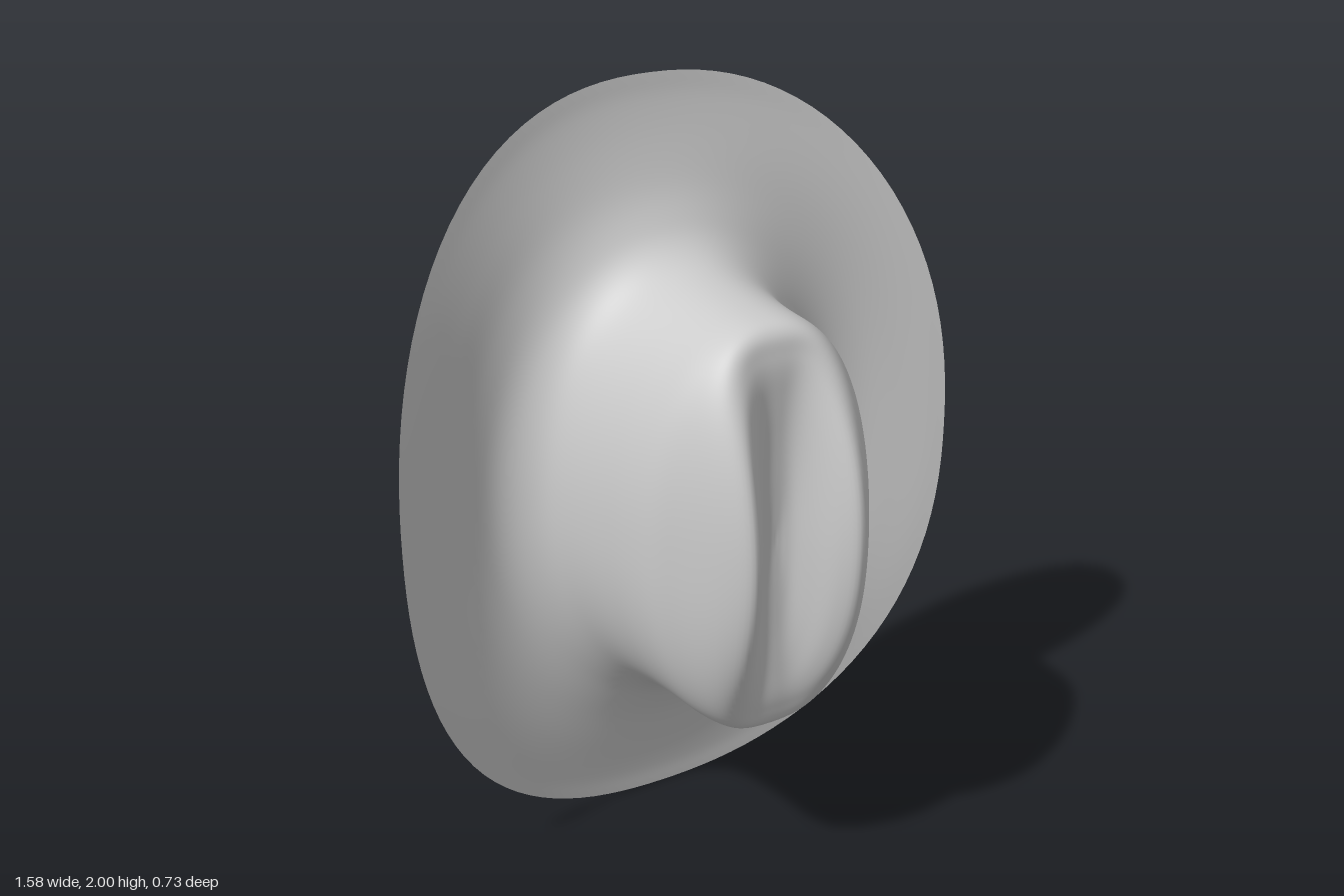
import * as THREE from 'three';
import { mergeVertices } from 'three/addons/utils/BufferGeometryUtils.js';

// Rings from rim to crown centre:
// [half width, half length, roundness exponent, z at sides, z at ends, z blend exponent]
const RINGS = [
  [0.79, 1.0, 2.25, -0.17, -0.365, 2.3],
  [0.74, 0.935, 2.25, -0.19, -0.357, 2.3],
  [0.66, 0.84, 2.2, -0.225, -0.335, 2.2],
  [0.57, 0.74, 2.15, -0.262, -0.303, 2],
  [0.5, 0.67, 2.1, -0.277, -0.268, 2],
  [0.44, 0.62, 2.1, -0.262, -0.232, 2],
  [0.39, 0.585, 2.1, -0.22, -0.185, 2],
  [0.36, 0.563, 2.1, -0.15, -0.125, 2],
  [0.335, 0.548, 2.15, -0.05, -0.04, 2],
  [0.32, 0.54, 2.2, 0.05, 0.05, 2],
  [0.3, 0.536, 2.3, 0.14, 0.13, 2],
  [0.26, 0.528, 2.5, 0.215, 0.18, 2],
  [0.2, 0.505, 3, 0.315, 0.207, 2],
  [0.15, 0.465, 3.4, 0.365, 0.218, 2],
  [0.11, 0.42, 3.4, 0.335, 0.224, 2],
  [0.075, 0.35, 3, 0.275, 0.224, 2],
  [0.045, 0.25, 2.6, 0.235, 0.222, 2],
  [0.02, 0.12, 2.2, 0.22, 0.22, 2],
  [0, 0, 2, 0.216, 0.216, 2],
];

// Smooth curve through three columns of the ring list
function column(start) {
  const points = RINGS.map((r) => new THREE.Vector3(...r.slice(start, start + 3)));
  return new THREE.CatmullRomCurve3(points, false, 'catmullrom', 0.5);
}

// One thin sheet: a grid wrapped around the crown axis and shaped ring by ring
function hatGeometry(segments, rings) {
  const plane = new THREE.PlaneGeometry(1, 1, segments, rings);
  const pos = plane.attributes.position;
  const outline = column(0);
  const height = column(3);
  for (let j = 0; j <= rings; j++) {
    const o = outline.getPoint(j / rings);
    const h = height.getPoint(j / rings);
    for (let i = 0; i <= segments; i++) {
      const angle = (-2 * Math.PI * (i % segments)) / segments;
      const c = Math.cos(angle);
      const s = Math.sin(angle);
      const k = Math.pow(Math.abs(c) ** o.z + Math.abs(s) ** o.z, -1 / o.z);
      const blend = Math.min(1, Math.abs(s * k)) ** h.z;
      pos.setXYZ(
        j * (segments + 1) + i,
        o.x * c * k,
        1 + o.y * s * k,
        THREE.MathUtils.lerp(h.x, h.y, blend)
      );
    }
  }
  // Weld the seam so the shading is continuous
  plane.deleteAttribute('uv');
  plane.deleteAttribute('normal');
  const geometry = mergeVertices(plane, 1e-5);
  geometry.computeVertexNormals();
  return geometry;
}

export function createModel() {
  const group = new THREE.Group();
  group.name = 'hat';
  const felt = new THREE.MeshStandardMaterial({ color: 0xcccccc, side: THREE.DoubleSide });
  const hat = new THREE.Mesh(hatGeometry(112, 90), felt);
  hat.name = 'crownAndBrim';
  group.add(hat);
  return group;
}
